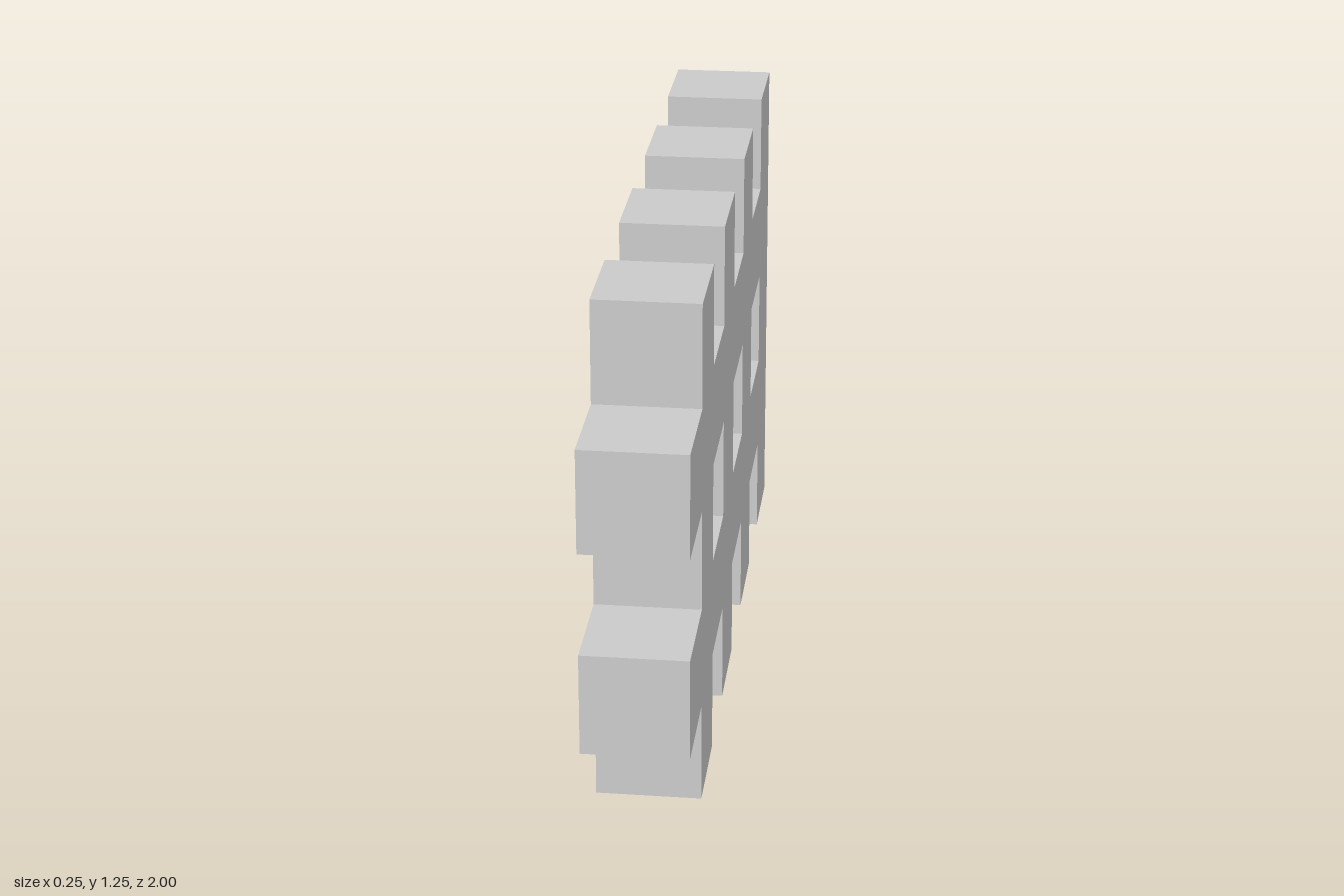
import * as THREE from 'three';

const U = 0.25; // width of every bar and gap
const POSTS = [-1, -0.5, 0, 0.5]; // back edge (z) of each post

// Side profile: shape x becomes model z, shape y stays up
function latticeShape() {
  const pts = [];
  // post feet and underside of the lower rail, back to front
  for (const z of POSTS) pts.push([z, 0], [z + U, 0], [z + U, U], [z + 2 * U, U]);
  // free rail ends at the front
  pts.push([1, 2 * U], [1 - U, 2 * U], [1 - U, 3 * U], [1, 3 * U]);
  // top of the upper rail and post heads, front to back
  for (const z of [...POSTS].reverse()) {
    pts.push([z + 2 * U, 4 * U], [z + U, 4 * U], [z + U, 5 * U], [z, 5 * U]);
  }
  const shape = new THREE.Shape(pts.map(([x, y]) => new THREE.Vector2(x, y)));

  // square openings between neighbouring posts
  for (const z of POSTS.slice(0, -1)) {
    const a = z + U, b = z + 2 * U;
    shape.holes.push(new THREE.Path([
      new THREE.Vector2(a, 2 * U), new THREE.Vector2(a, 3 * U),
      new THREE.Vector2(b, 3 * U), new THREE.Vector2(b, 2 * U),
    ]));
  }
  return shape;
}

export function createModel() {
  const group = new THREE.Group();
  group.name = 'fence';

  // Posts and rails as one solid, extruded across x
  const geometry = new THREE.ExtrudeGeometry(latticeShape(), { depth: U, bevelEnabled: false });
  geometry.translate(0, 0, -U / 2);
  geometry.rotateY(-Math.PI / 2);

  const material = new THREE.MeshStandardMaterial({ color: 0xcccccc, flatShading: true });
  const lattice = new THREE.Mesh(geometry, material);
  lattice.name = 'postsAndRails';
  group.add(lattice);
  return group;
}
